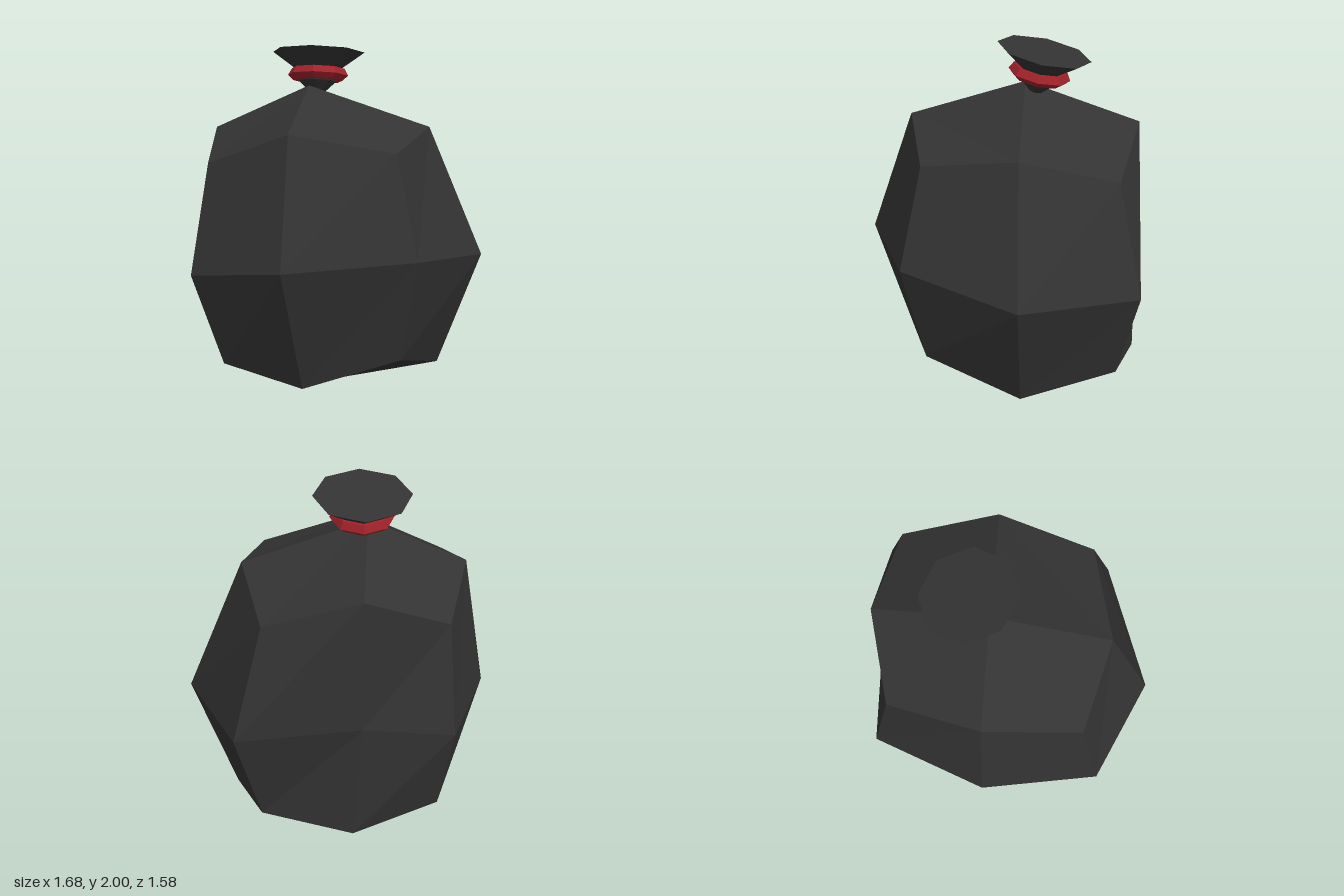
import * as THREE from 'three';

// Sack corners as a 3 x 3 x 3 lattice: layers bottom to top, rows back to front, right to left
const LATTICE = [
  [[[-0.53, 0.27, -0.65], [-0.05, 0.16, -0.77], [0.45, 0.25, -0.67]],
   [[-0.59, 0.11, -0.12], [-0.02, 0, -0.12], [0.59, 0.13, -0.14]],
   [[-0.57, 0.23, 0.42], [-0.10, 0.14, 0.54], [0.43, 0.29, 0.41]]],
  [[[-0.60, 0.76, -0.75], [-0.10, 0.82, -0.77], [0.59, 0.78, -0.79]],
   [[-0.84, 0.76, -0.11], [0, 0.8, 0], [0.84, 0.79, -0.14]],
   [[-0.72, 0.76, 0.54], [-0.17, 0.84, 0.79], [0.53, 0.87, 0.53]]],
  [[[-0.57, 1.37, -0.64], [-0.10, 1.56, -0.76], [0.43, 1.39, -0.66]],
   [[-0.72, 1.51, -0.11], [-0.17, 1.76, -0.11], [0.53, 1.53, -0.12]],
   [[-0.64, 1.37, 0.43], [-0.17, 1.55, 0.55], [0.40, 1.44, 0.42]]],
];

function makeMesh(name, geometry, color) {
  const mesh = new THREE.Mesh(geometry, new THREE.MeshStandardMaterial({ color, flatShading: true }));
  mesh.name = name;
  return mesh;
}

// Eight-sided turned part from [radius, height] pairs, bottom to top
function turned(profile) {
  return new THREE.LatheGeometry(profile.map(([r, y]) => new THREE.Vector2(r, y)), 8);
}

export function createModel() {
  const model = new THREE.Group();
  model.name = 'tiedSack';
  const cloth = 0x333333;

  // Lumpy sack: a subdivided box with each corner moved to its lattice point
  const box = new THREE.BoxGeometry(2, 2, 2, 2, 2, 2);
  const pos = box.attributes.position;
  for (let i = 0; i < pos.count; i++) {
    const [ix, iy, iz] = [pos.getX(i), pos.getY(i), pos.getZ(i)].map((v) => Math.round(v) + 1);
    pos.setXYZ(i, ...LATTICE[iy][iz][ix]);
  }
  const sack = box.toNonIndexed();
  sack.computeVertexNormals();
  model.add(makeMesh('sackBody', sack, cloth));

  // Gathered neck and its tie, tilted backwards
  const top = new THREE.Group();
  top.name = 'tiedNeck';
  top.position.set(-0.13, 1.945, -0.217);
  top.rotation.x = -0.204;
  top.add(makeMesh('gatheredNeck', turned([[0, -0.235], [0.04, -0.235], [0.11, -0.17], [0.13, -0.1], [0.27, 0], [0, 0]]), cloth));
  top.add(makeMesh('tieBand', turned([[0.1, -0.165], [0.145, -0.165], [0.178, -0.135], [0.155, -0.095], [0.12, -0.095]]), 0xa0222a));
  model.add(top);

  return model;
}
